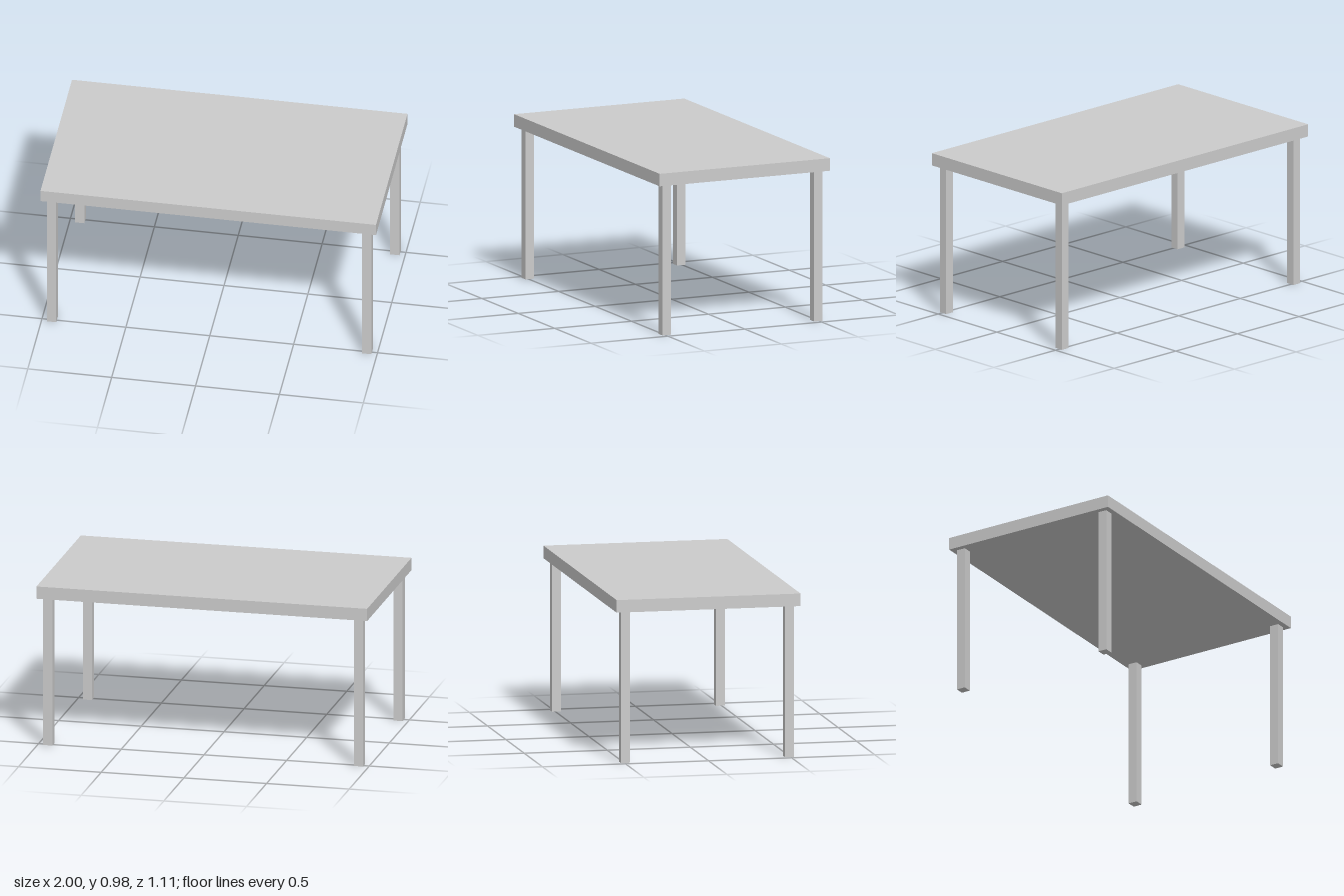
import * as THREE from 'three';

const LENGTH = 2, DEPTH = 1.107, HEIGHT = 0.977, THICKNESS = 0.075;
const LEG = 0.055, INSET = 0.033;
const LEG_HEIGHT = HEIGHT - THICKNESS;

export function createModel() {
  const table = new THREE.Group();
  table.name = 'table';
  const material = new THREE.MeshStandardMaterial({ color: 0xcccccc });

  // Flat slab top
  const top = new THREE.Mesh(new THREE.BoxGeometry(LENGTH, THICKNESS, DEPTH), material);
  top.name = 'tableTop';
  top.position.y = HEIGHT - THICKNESS / 2;
  table.add(top);

  // Four square legs, set in slightly from the corners
  const legGeometry = new THREE.BoxGeometry(LEG, LEG_HEIGHT, LEG);
  const legX = LENGTH / 2 - INSET - LEG / 2;
  const legZ = DEPTH / 2 - INSET - LEG / 2;
  for (const [sideName, sx] of [['Left', 1], ['Right', -1]]) {
    for (const [endName, sz] of [['front', 1], ['back', -1]]) {
      const leg = new THREE.Mesh(legGeometry, material);
      leg.name = `${endName}${sideName}Leg`;
      leg.position.set(sx * legX, LEG_HEIGHT / 2, sz * legZ);
      table.add(leg);
    }
  }
  return table;
}
